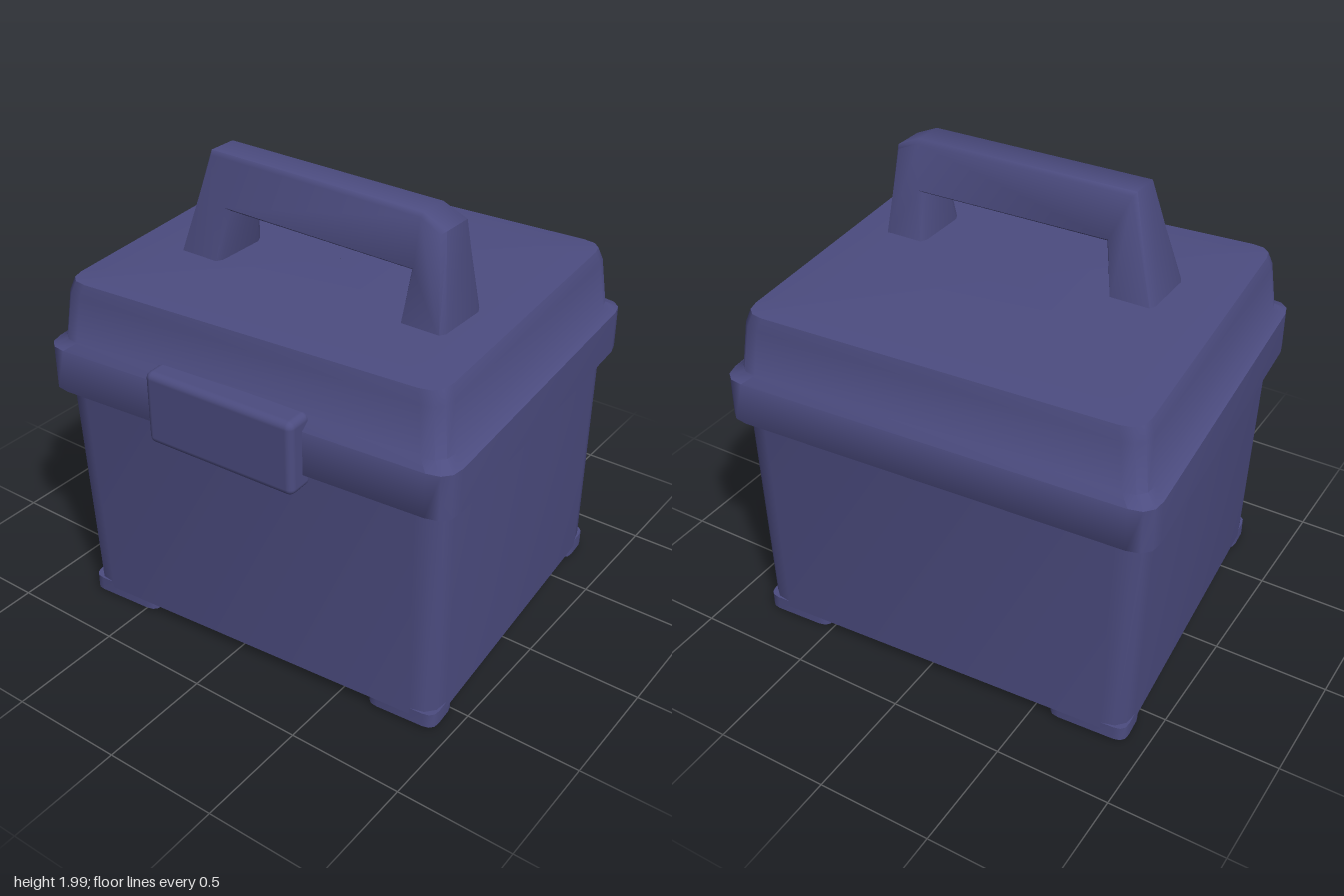
import * as THREE from 'three';
import { toCreasedNormals } from 'three/addons/utils/BufferGeometryUtils.js';
import { RoundedBoxGeometry } from 'three/addons/geometries/RoundedBoxGeometry.js';

// Slightly skewed plan of the box at its widest: front left, front right, back right, back left
const PLAN = [[-0.86, 0.86], [1.0, 0.72], [0.87, -0.87], [-1.01, -0.77]].map(p => new THREE.Vector2(...p));

// Point inside the plan, u across and v from front to back
function planPoint(u, v) {
  const front = PLAN[0].clone().lerp(PLAN[1], u);
  const back = PLAN[3].clone().lerp(PLAN[2], u);
  return front.lerp(back, v);
}

// Four-cornered outline with rounded corners
function outline(corners, radius) {
  const points = [];
  corners.forEach((c, i) => {
    const toward = o => c.clone().add(o.clone().sub(c).setLength(radius));
    const a = toward(corners[(i + 3) % 4]), b = toward(corners[(i + 1) % 4]);
    points.push(...new THREE.QuadraticBezierCurve(a, c, b).getPoints(3));
  });
  return points;
}

// Closed stack of scaled outlines; each level is [y, scale, x offset]
function loft(corners, radius, levels, pivot = new THREE.Vector2()) {
  const ring = outline(corners, radius), n = ring.length;
  const positions = [], index = [];
  for (const [y, scale, dx = 0] of levels)
    for (const p of ring)
      positions.push(pivot.x + (p.x - pivot.x) * scale + dx, y, pivot.y + (p.y - pivot.y) * scale);
  for (let k = 0; k < levels.length - 1; k++)
    for (let i = 0; i < n; i++) {
      const a = k * n + i, b = k * n + (i + 1) % n;
      index.push(a, b, b + n, a, b + n, a + n);
    }
  const geometry = new THREE.BufferGeometry();
  geometry.setAttribute('position', new THREE.Float32BufferAttribute(positions, 3));
  geometry.setIndex(index);
  return toCreasedNormals(geometry, 1.0);
}

export function createModel() {
  const model = new THREE.Group();
  model.name = 'coolBox';
  const indigo = new THREE.MeshStandardMaterial({ color: 0x4c4c80 });
  indigo.name = 'indigo plastic';
  const add = (name, geometry) => {
    const mesh = new THREE.Mesh(geometry, indigo);
    mesh.name = name;
    model.add(mesh);
    return mesh;
  };

  // Tapered body with a bevelled base
  add('body', loft(PLAN, 0.12, [
    [0, 0.001], [0, 0.8, 0.015], [0.05, 0.925, 0.015], [1.06, 0.95], [1.06, 0.001],
  ]));

  // Corner feet that fill out the base bevel
  for (const [u0, u1] of [[0, 0.2], [0.82, 1]])
    for (const [v0, v1] of [[0, 0.12], [0.88, 1]]) {
      const corners = [planPoint(u0, v0), planPoint(u1, v0), planPoint(u1, v1), planPoint(u0, v1)]
        .map(p => p.multiplyScalar(0.925));
      const pivot = corners.reduce((s, p) => s.add(p), new THREE.Vector2()).divideScalar(4);
      add('foot', loft(corners, 0.05, [
        [0.015, 0.001, 0.015], [0.015, 1, 0.015], [0.08, 1, 0.015], [0.08, 0.001, 0.015],
      ], pivot));
    }

  // Lid with a projecting rim and a gently raised top
  add('lid', loft(PLAN, 0.1, [
    [1.03, 0.001], [1.03, 0.95], [1.06, 1], [1.25, 1], [1.28, 0.95],
    [1.48, 0.925], [1.535, 0.905], [1.55, 0.7], [1.55, 0.001],
  ]));

  // Front latch
  const latch = add('latch', new RoundedBoxGeometry(0.7, 0.32, 0.13, 3, 0.03));
  latch.position.set(0.037, 1.15, 0.783);
  latch.rotation.y = 0.035;

  // Carrying handle, narrowing from its feet to the grip
  const arch = new THREE.Shape([
    [-0.585, 1.52], [-0.385, 1.52], [-0.35, 1.77], [0.53, 1.76], [0.5, 1.52],
    [0.695, 1.52], [0.65, 1.93], [0.55, 1.975], [-0.45, 1.985],
  ].map(p => new THREE.Vector2(...p)));
  const handle = new THREE.ExtrudeGeometry(arch, {
    depth: 0.8, bevelEnabled: true, bevelThickness: 0.1, bevelSize: 0.015,
    bevelOffset: -0.01, bevelSegments: 1,
  });
  const pos = handle.attributes.position;
  for (let i = 0; i < pos.count; i++) {
    const t = (pos.getY(i) - 1.52) / 0.47;
    const half = THREE.MathUtils.lerp(0.145, 0.08, t);
    pos.setZ(i, 0.18 + (pos.getZ(i) - 0.4) * 2 * half);
  }
  add('handle', toCreasedNormals(handle, 1.0));

  return model;
}
